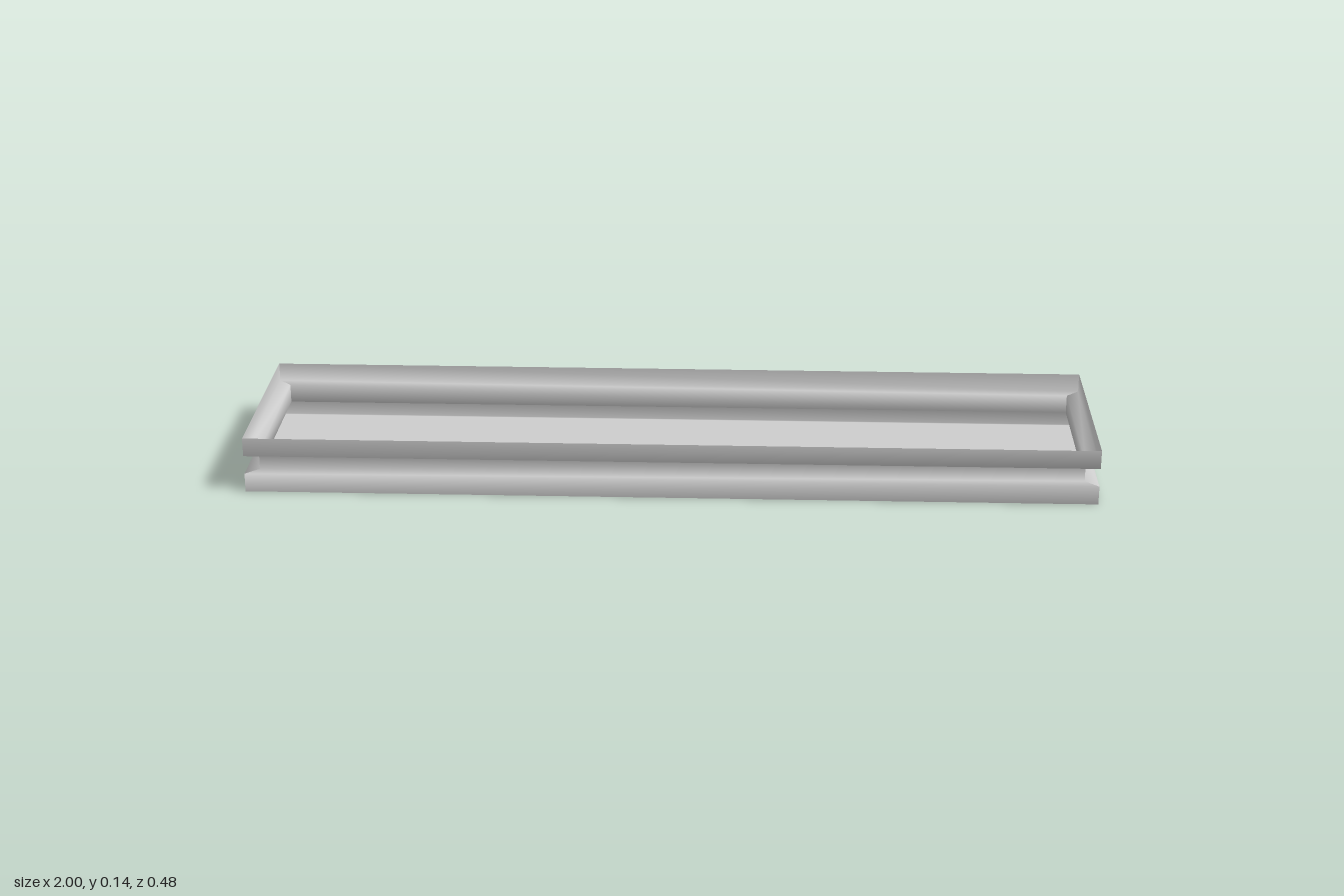
import * as THREE from 'three';

const HALF_X = 1;
const HALF_Z = 0.242;
const LIP = 0.005;

// Wall cross-section, bottom to top: [inset from the outer edge, height]
const PROFILE = [
  [LIP, 0], [0, 0], [0, 0.045], [0.031, 0.045],
  [0.031, 0.09], [0, 0.09], [0, 0.135],
];
const CORNERS = [[1, 1], [1, -1], [-1, -1], [-1, 1]];

// One mitred wall: the cross-section swept between two neighbouring corners,
// with normals shared along the section and sharp at the mitres
function wallGeometry(start, end) {
  const positions = [];
  const index = [];
  PROFILE.forEach(([inset, y], i) => {
    for (const [sx, sz] of [start, end]) {
      positions.push(sx * (HALF_X - inset), y, sz * (HALF_Z - inset));
    }
    if (i > 0) {
      const a = 2 * (i - 1);
      index.push(a, a + 1, a + 3, a, a + 3, a + 2);
    }
  });
  const geometry = new THREE.BufferGeometry();
  geometry.setAttribute('position', new THREE.Float32BufferAttribute(positions, 3));
  geometry.setIndex(index);
  geometry.computeVertexNormals();
  return geometry;
}

export function createModel() {
  const group = new THREE.Group();
  group.name = 'tray';
  const material = new THREE.MeshStandardMaterial({ color: 0xcccccc, side: THREE.DoubleSide });

  // Four grooved walls
  const names = ['leftWall', 'backWall', 'rightWall', 'frontWall'];
  names.forEach((name, i) => {
    const wall = new THREE.Mesh(wallGeometry(CORNERS[i], CORNERS[(i + 1) % 4]), material);
    wall.name = name;
    group.add(wall);
  });

  // Flat floor inside the bottom lip
  const floor = new THREE.Mesh(
    new THREE.PlaneGeometry(2 * (HALF_X - LIP), 2 * (HALF_Z - LIP)).rotateX(-Math.PI / 2),
    material,
  );
  floor.name = 'floor';
  group.add(floor);

  return group;
}
